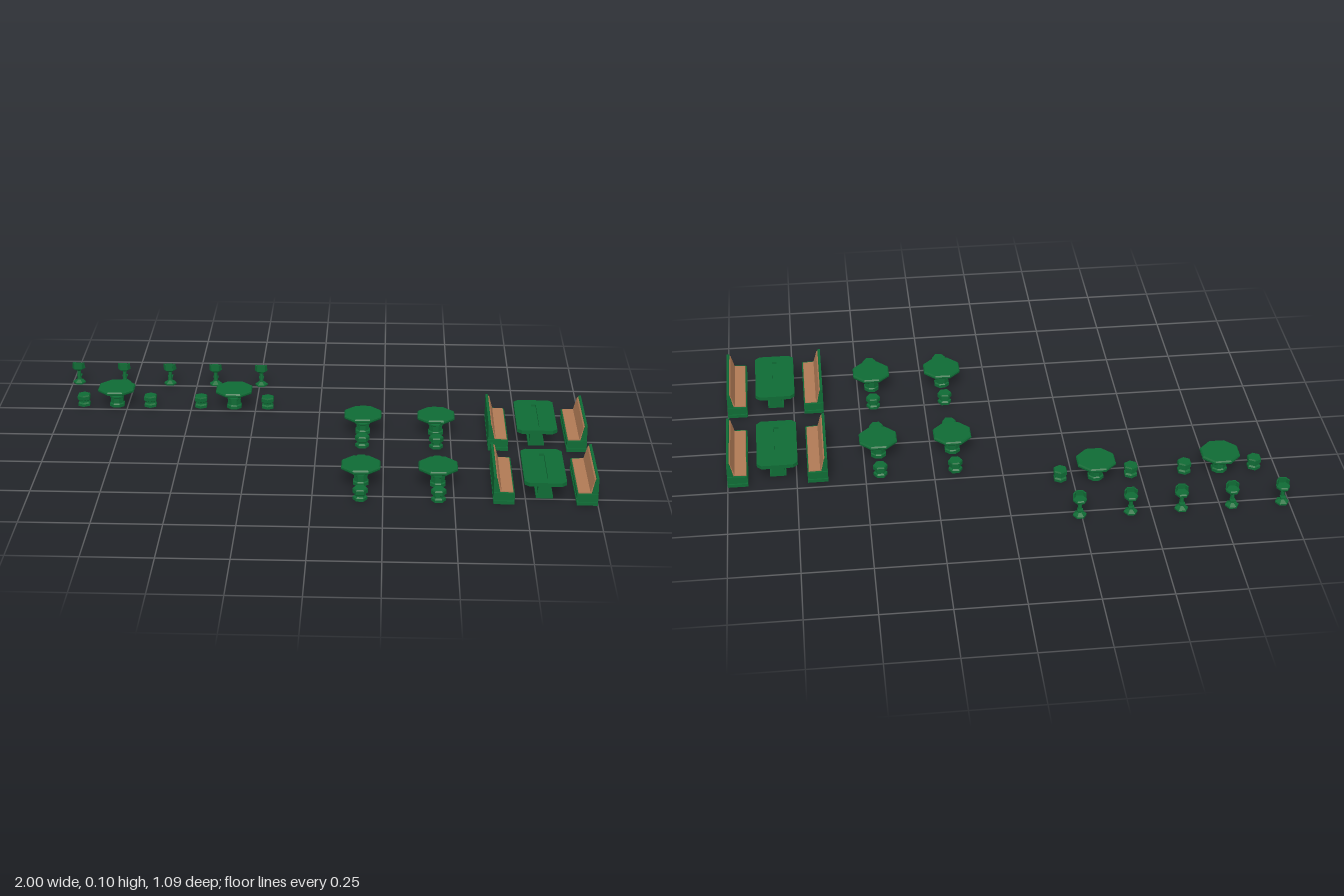
import * as THREE from 'three';

const green = new THREE.MeshStandardMaterial({ color: 0x0f6b35, flatShading: true });
const brown = new THREE.MeshStandardMaterial({ color: 0xb07a55, flatShading: true });

function add(parent, name, geometry, material = green, x = 0, y = 0, z = 0) {
  const mesh = new THREE.Mesh(geometry, material);
  mesh.name = name;
  mesh.position.set(x, y, z);
  parent.add(mesh);
  return mesh;
}

function group(parent, name, x, z) {
  const g = new THREE.Group();
  g.name = name;
  g.position.set(x, 0, z);
  parent.add(g);
  return g;
}

// Faceted turned part from [radius, height] pairs, bottom to top
function turned(points, sides, turn = 0) {
  const geometry = new THREE.LatheGeometry(points.map(p => new THREE.Vector2(...p)), sides);
  return geometry.rotateY(turn);
}

// Side profile in x and y, extruded along z and centred
function bar(points, length) {
  const shape = new THREE.Shape(points.map(p => new THREE.Vector2(...p)));
  return new THREE.ExtrudeGeometry(shape, { depth: length, bevelEnabled: false }).translate(0, 0, -length / 2);
}

// Octagonal pedestal table
function roundTable(parent, x, z) {
  const g = group(parent, 'roundTable', x, z);
  const turn = Math.PI / 8;
  add(g, 'pedestal', turned([[0, 0], [0.03, 0], [0.03, 0.012], [0.026, 0.016], [0.026, 0.036],
    [0.029, 0.038], [0.029, 0.044], [0.016, 0.046], [0.016, 0.058], [0.032, 0.066]], 8, turn));
  add(g, 'tableTop', turned([[0, 0.066], [0.073, 0.066], [0.075, 0.069], [0.075, 0.075],
    [0.071, 0.08], [0, 0.08]], 8, turn));
}

// Low drum stool with a waist
function stool(parent, x, z, turn) {
  const g = group(parent, 'stool', x, z);
  add(g, 'stoolBase', turned([[0, 0], [0.026, 0], [0.026, 0.01], [0.02, 0.015], [0.02, 0.024]], 6, turn));
  add(g, 'stoolSeat', turned([[0.02, 0.022], [0.027, 0.026], [0.027, 0.04], [0.024, 0.045], [0, 0.045]], 6, turn));
}

// Tall stool whose backrest stands on its +z side
function barStool(parent, x, z) {
  const g = group(parent, 'barStool', x, z);
  const turn = Math.PI / 6;
  add(g, 'stem', turned([[0, 0], [0.025, 0], [0.025, 0.006], [0.009, 0.016], [0.007, 0.052], [0.014, 0.06]], 6, turn));
  add(g, 'seat', turned([[0, 0.058], [0.019, 0.058], [0.025, 0.063], [0.025, 0.07], [0.021, 0.074], [0, 0.074]], 6, turn));
  add(g, 'footrest', new THREE.BoxGeometry(0.02, 0.004, 0.018), green, 0, 0.029, -0.009);
  // Backrest: one flat panel and two angled wings
  add(g, 'backrest', new THREE.BoxGeometry(0.027, 0.028, 0.006), green, 0, 0.079, 0.02);
  for (const s of [-1, 1]) {
    const wing = add(g, 'backrestWing', new THREE.BoxGeometry(0.016, 0.024, 0.005), green, s * 0.018, 0.077, 0.0145);
    wing.rotation.y = s * Math.PI / 3;
  }
}

// Bench with its back at x = 0 and its seat reaching out to +x
function bench(parent, x, z, facing) {
  const g = group(parent, 'bench', x, z);
  if (facing < 0) g.rotation.y = Math.PI;
  const length = 0.298, wide = 0.308;
  add(g, 'plinth', new THREE.BoxGeometry(0.074, 0.012, wide), green, 0.037, 0.006);
  add(g, 'kickRecess', new THREE.BoxGeometry(0.066, 0.01, length), green, 0.035, 0.016);
  add(g, 'seatBox', bar([[0, 0.019], [0.071, 0.019], [0.074, 0.022], [0.074, 0.038], [0.07, 0.042], [0, 0.044]], wide));
  add(g, 'back', bar([[0, 0.04], [0.024, 0.04], [0.012, 0.095], [0.008, 0.101], [0, 0.101]], length));
  // Upholstery
  add(g, 'seatPad', bar([[0.02, 0.041], [0.07, 0.041], [0.068, 0.045], [0.02, 0.047]], 0.29), brown);
  add(g, 'backPad', bar([[0.02, 0.044], [0.028, 0.046], [0.015, 0.093], [0.009, 0.099], [0.006, 0.099]], 0.29), brown);
}

// Long table with cut corners and a sunken strip
function boothTable(parent, x, z) {
  const g = group(parent, 'boothTable', x, z);
  const w = 0.074, l = 0.146, c = 0.017;
  const outline = new THREE.Shape([[-w + c, -l], [w - c, -l], [w, -l + c], [w, l - c],
    [w - c, l], [-w + c, l], [-w, l - c], [-w, -l + c]].map(p => new THREE.Vector2(...p)));
  outline.holes.push(new THREE.Path([[-0.009, -0.105], [-0.009, 0.105], [0.009, 0.105], [0.009, -0.105]]
    .map(p => new THREE.Vector2(...p))));
  const top = new THREE.ExtrudeGeometry(outline, { depth: 0.014, bevelEnabled: false });
  add(g, 'tableTop', top.rotateX(-Math.PI / 2).translate(0, 0.066, 0));
  add(g, 'stripFloor', new THREE.BoxGeometry(0.02, 0.005, 0.212), green, 0, 0.0685);
  add(g, 'pedestal', bar([[-0.03, 0], [0.03, 0], [0.03, 0.01], [0.023, 0.015], [0.023, 0.052],
    [0.034, 0.066], [-0.034, 0.066], [-0.023, 0.052], [-0.023, 0.015], [-0.03, 0.01]], 0.2));
}

export function createModel() {
  const model = new THREE.Group();
  model.name = 'diningFurniture';

  // Four tables with stools in front and behind, and two booths
  for (const z of [-0.065, 0.393]) {
    for (const x of [0.17, 0.445]) {
      roundTable(model, x, z);
      for (const s of [-1, 1]) stool(model, x, z + s * 0.13, Math.PI / 6);
    }
    boothTable(model, 0.817, z);
    bench(model, 0.636, z, 1);
    bench(model, 1, z, -1);
  }

  // Two tables with stools at the sides
  for (const x of [-0.792, -0.334]) {
    roundTable(model, x, -0.294);
    for (const s of [-1, 1]) stool(model, x + s * 0.13, -0.294, 0);
  }

  // Row of tall stools
  for (let i = 0; i < 5; i++) barStool(model, -0.975 + i * 0.183, -0.523);

  return model;
}
